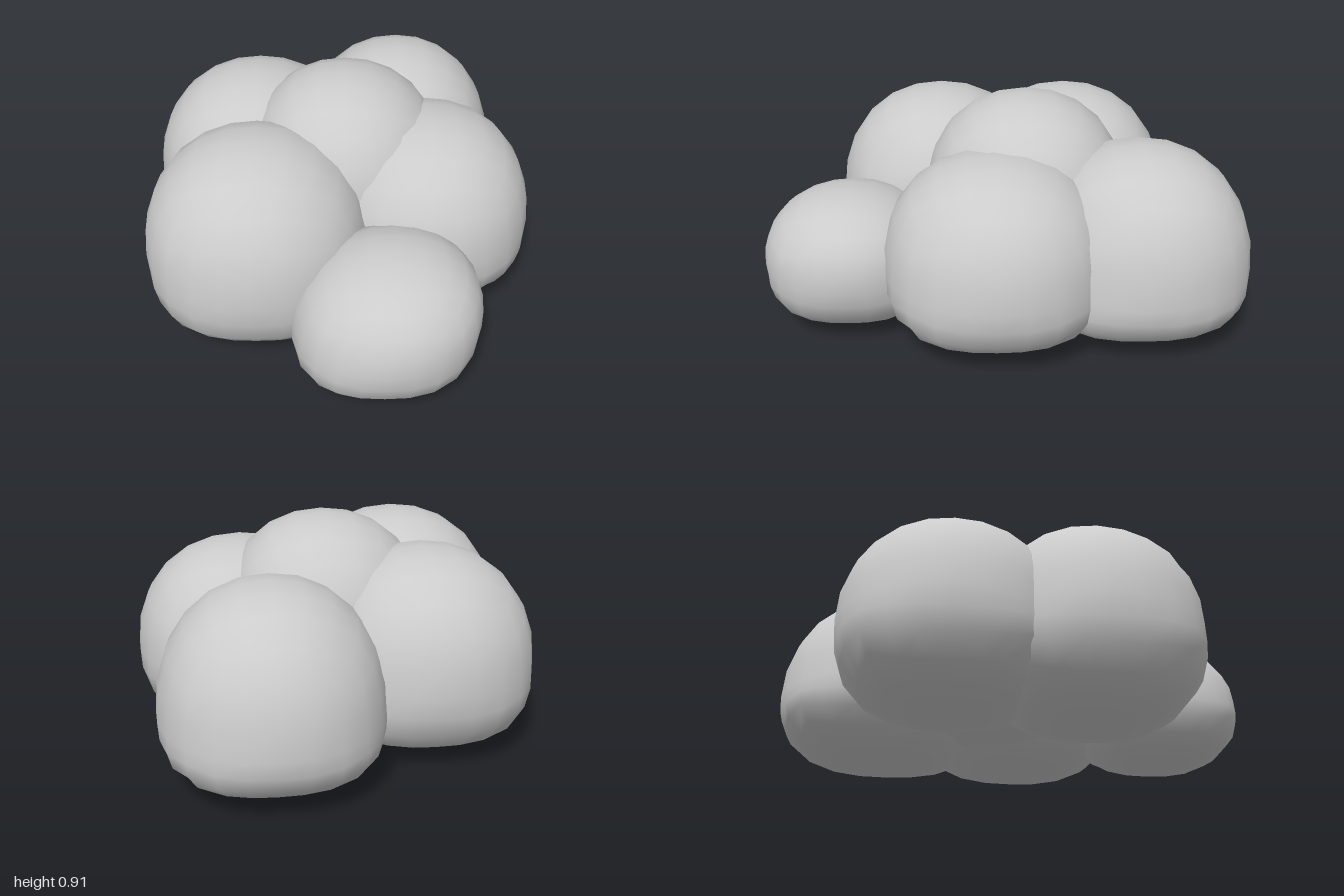
import * as THREE from 'three';
import { mergeVertices } from 'three/addons/utils/BufferGeometryUtils.js';

const material = new THREE.MeshStandardMaterial({ color: 0xcccccc });

// Puff: a rounded cube-sphere, domed above its widest level and flatter below it.
// x, z: centre; rx, rz: half widths; bottom, waist, top: heights; lean: sideways shift with height
function puff({ name, x, z, rx, rz, bottom, waist, top, lean = 0 }) {
  let geometry = new THREE.BoxGeometry(2, 2, 2, 6, 6, 6);
  geometry.deleteAttribute('normal');
  geometry.deleteAttribute('uv');
  geometry = mergeVertices(geometry);
  const p = geometry.attributes.position;
  const v = new THREE.Vector3();
  for (let i = 0; i < p.count; i++) {
    v.fromBufferAttribute(p, i);
    // even out the grid spacing before rounding
    v.set(Math.tan(v.x * Math.PI / 4), Math.tan(v.y * Math.PI / 4), Math.tan(v.z * Math.PI / 4)).normalize();
    const n = v.y < 0 ? 2.15 + 0.45 * Math.min(1, -v.y * 2) : 2.15;
    const sum = Math.abs(v.x) ** n + Math.abs(v.y) ** n + Math.abs(v.z) ** n;
    v.multiplyScalar(sum ** (-1 / n));
    const h = v.y * (v.y > 0 ? top - waist : waist - bottom);
    p.setXYZ(i, x + v.x * rx + h * lean, waist + h, z + v.z * rz);
  }
  geometry.computeVertexNormals();
  const mesh = new THREE.Mesh(geometry, material);
  mesh.name = name;
  return mesh;
}

export function createModel() {
  const group = new THREE.Group();
  group.name = 'cloud';
  const puffs = [
    { name: 'frontRightPuff', x: -0.34, z: 0.28, rx: 0.46, rz: 0.45, bottom: 0, waist: 0.35, top: 0.82 },
    { name: 'backRightPuff', x: -0.36, z: -0.28, rx: 0.45, rz: 0.45, bottom: 0.02, waist: 0.35, top: 0.81 },
    { name: 'backLeftPuff', x: 0.27, z: -0.54, rx: 0.44, rz: 0.46, bottom: 0.025, waist: 0.28, top: 0.78 },
    { name: 'leftPuff', x: 0.36, z: 0.04, rx: 0.445, rz: 0.455, bottom: 0.035, waist: 0.33, top: 0.775 },
    { name: 'frontPuff', x: 0.175, z: 0.64, rx: 0.37, rz: 0.36, bottom: 0.015, waist: 0.27, top: 0.57, lean: 0.12 },
    { name: 'topPuff', x: 0.02, z: -0.09, rx: 0.43, rz: 0.43, bottom: 0.07, waist: 0.45, top: 0.91 },
  ];
  for (const spec of puffs) group.add(puff(spec));
  return group;
}
